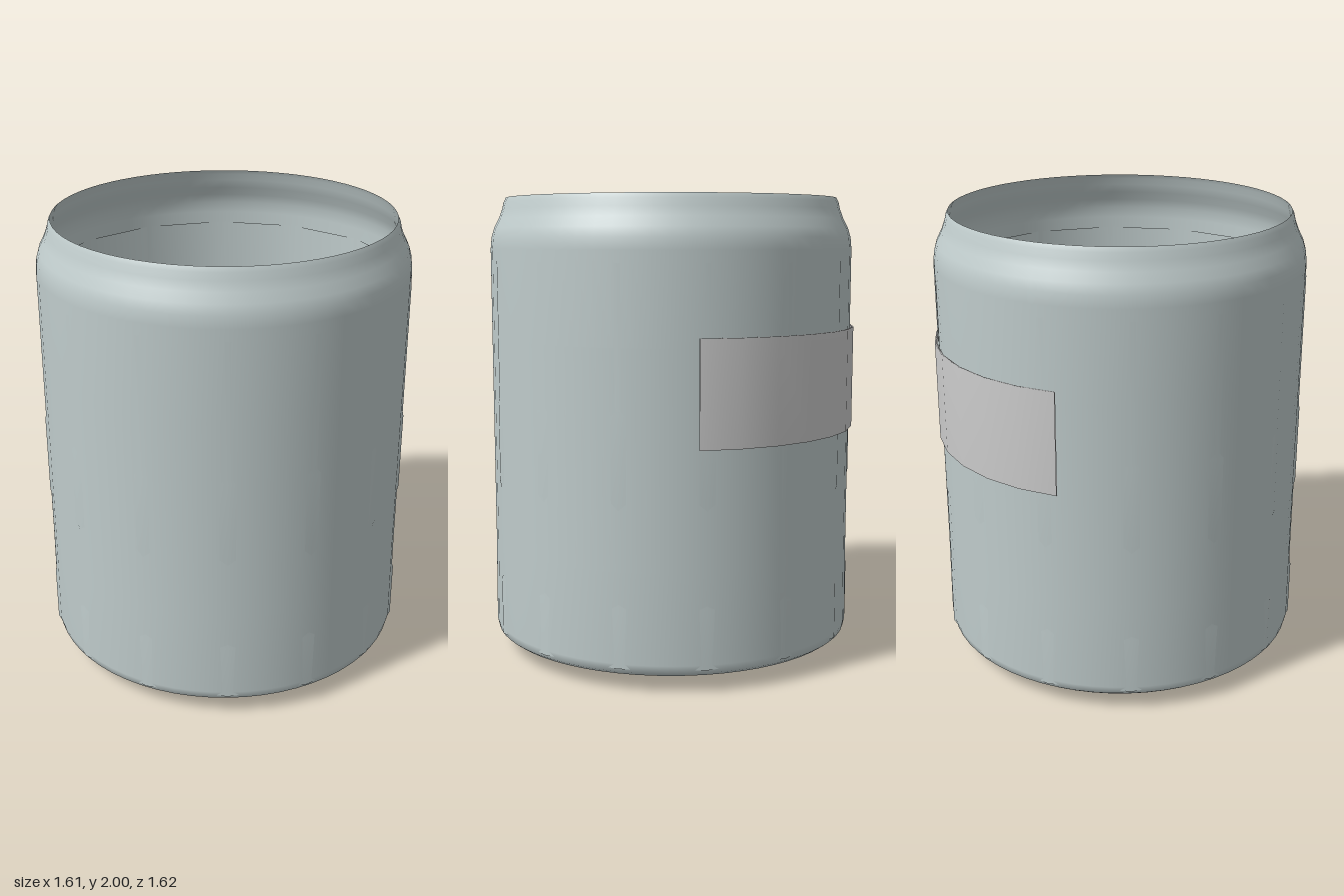
import * as THREE from 'three';

const mat = (color) => new THREE.MeshStandardMaterial({ color, side: THREE.DoubleSide });

const deg = THREE.MathUtils.degToRad;

// Coins from the bottom of the pile upwards: [x, z, radius, isGold]
const COINS = [
  [-0.02, -0.48, 0.22, 1], [0.41, -0.28, 0.215, 1], [-0.43, -0.26, 0.165, 1],
  [-0.43, 0.185, 0.165, 0], [-0.02, 0.505, 0.215, 1], [0.39, 0.34, 0.165, 0],
  [-0.065, 0, 0.215, 1], [0.22, 0.1, 0.165, 1], [0.48, -0.07, 0.215, 1],
  [-0.36, 0.33, 0.215, 1], [-0.01, -0.26, 0.13, 0], [0.28, -0.4, 0.168, 1],
  [-0.345, -0.215, 0.165, 0], [0.25, -0.415, 0.13, 0], [0.43, -0.145, 0.108, 0],
  [0.065, -0.035, 0.165, 0], [0.035, 0.065, 0.215, 1], [0.04, -0.01, 0.167, 1],
  [-0.34, 0.19, 0.12, 0], [-0.355, 0.49, 0.167, 0], [0.08, 0.435, 0.165, 0],
  [-0.03, 0.305, 0.167, 1], [0.39, 0.17, 0.167, 1],
];

function lathe(name, points, segments, material, start = 0, length = Math.PI * 2) {
  const profile = points.map(([r, y]) => new THREE.Vector2(r, y));
  const mesh = new THREE.Mesh(new THREE.LatheGeometry(profile, segments, start, length), material);
  mesh.name = name;
  return mesh;
}

// Each coin rests on the highest coin it overlaps
function coinPile() {
  const pile = new THREE.Group();
  pile.name = 'coinPile';
  const gold = mat(0xc8bc6c), silver = mat(0xcccccc);
  const thickness = 0.03;
  const tops = [];
  COINS.forEach(([x, z, r, isGold], i) => {
    let y = 0.055;
    for (let j = 0; j < i; j++) {
      const [px, pz, pr] = COINS[j];
      if (Math.hypot(x - px, z - pz) < r + pr - 0.01) y = Math.max(y, tops[j]);
    }
    tops.push(y + thickness);
    const coin = new THREE.Mesh(new THREE.CylinderGeometry(r, r, thickness, 40), isGold ? gold : silver);
    coin.name = isGold ? 'goldCoin' : 'silverCoin';
    coin.position.set(x, y + thickness / 2, z);
    pile.add(coin);
  });
  return pile;
}

export function createModel() {
  const model = new THREE.Group();
  model.name = 'coinJar';
  const glass = mat(0xbfcbcb);

  // Open glass jar with a raised foot and a tapered neck
  model.add(lathe('jarFoot', [[0, 0], [0.3, 0.004], [0.55, 0.01], [0.575, 0.016], [0.585, 0.045], [0.6, 0.058]], 64, glass));
  model.add(lathe('jarBody', [
    [0.6, 0.058], [0.74, 0.064], [0.775, 0.07], [0.795, 0.085], [0.803, 0.12],
    [0.8, 0.5], [0.8, 1.4], [0.8, 1.78], [0.795, 1.83], [0.783, 1.87],
    [0.762, 1.91], [0.747, 1.95], [0.74, 1.98], [0.73, 2],
  ], 64, glass));

  // Faceted inner layer whose ridges ripple the wall
  model.add(lathe('wallRipple', [[0.807, 0.1], [0.807, 0.35], [0.799, 0.37], [0.799, 0.75],
    [0.806, 0.78], [0.806, 1.13], [0.802, 1.15], [0.802, 1.73]], 14, glass));

  // Thin curved label on the back
  model.add(lathe('label', [[0.807, 1], [0.815, 1], [0.815, 1.44], [0.807, 1.44], [0.807, 1]],
    7, mat(0xcccccc), deg(126), deg(84)));

  model.add(coinPile());
  return model;
}
